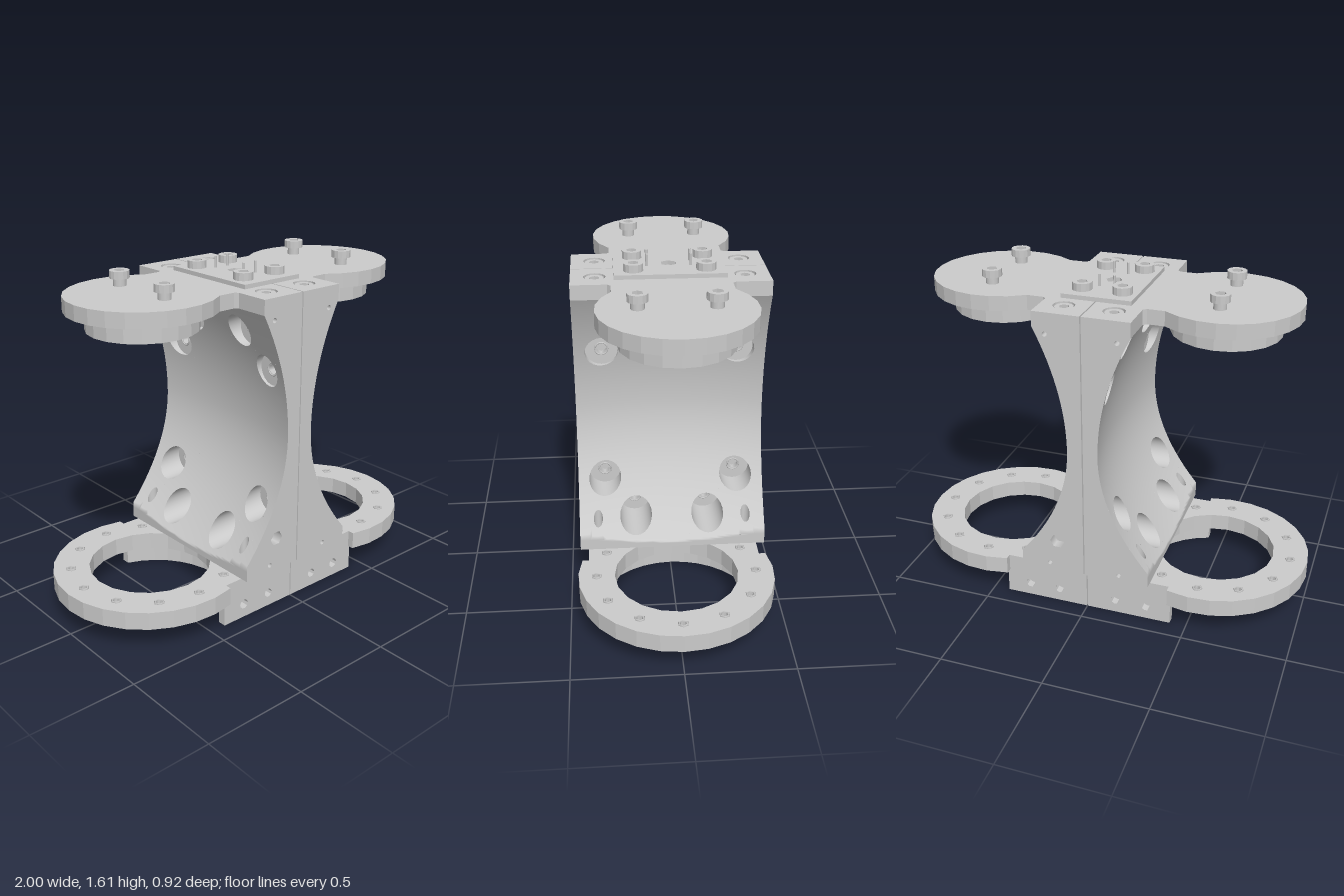
import * as THREE from 'three';
import { mergeGeometries } from 'three/addons/utils/BufferGeometryUtils.js';

const GREY = new THREE.MeshStandardMaterial({ color: 0xcccccc });
const THIN = new THREE.MeshStandardMaterial({ color: 0xcccccc, side: THREE.DoubleSide });
const GAP = 0.003, CX = 0.54, COL_Z = 0.45, Y0 = 0.21, Y1 = 1.46;

function add(parent, name, geo, mat = GREY, x = 0, y = 0, z = 0) {
  const m = new THREE.Mesh(geo, mat);
  m.name = name;
  m.position.set(x, y, z);
  parent.add(m);
  return m;
}

function circle(x, y, r, sides = 16) {
  const pts = [];
  for (let i = 0; i < sides; i++) {
    const a = (i / sides) * Math.PI * 2;
    pts.push(new THREE.Vector2(x + r * Math.cos(a), y + r * Math.sin(a)));
  }
  return new THREE.Path(pts);
}

function shapeOf(points, holes = []) {
  const s = new THREE.Shape(points.map(p => new THREE.Vector2(p[0], p[1])));
  s.holes.push(...holes);
  return s;
}

// Horizontal slab from a plan outline (outlines are symmetric in z)
function slab(shape, y0, y1) {
  const g = new THREE.ExtrudeGeometry(shape, { depth: y1 - y0, bevelEnabled: false });
  return g.rotateX(-Math.PI / 2).translate(0, y0, 0);
}

// Arc points from angle a to b
function arc(cx, r, a, b, n) {
  return Array.from({ length: n + 1 }, (_, i) => {
    const t = a + ((b - a) * i) / n;
    return [cx + r * Math.cos(t), r * Math.sin(t)];
  });
}

// Parametric sheet, fn(u, v) -> [x, y, z]
function sheet(nu, nv, fn) {
  const pos = [], idx = [];
  for (let i = 0; i <= nu; i++) for (let j = 0; j <= nv; j++) pos.push(...fn(i / nu, j / nv));
  for (let i = 0; i < nu; i++) for (let j = 0; j < nv; j++) {
    const a = i * (nv + 1) + j, b = a + nv + 1;
    idx.push(a, b, b + 1, a, b + 1, a + 1);
  }
  const g = new THREE.BufferGeometry();
  g.setAttribute('position', new THREE.Float32BufferAttribute(pos, 3));
  g.setIndex(idx);
  g.computeVertexNormals();
  return g;
}

// Blind hole sunk from a point, opening along +y before rotation
function pocket(parent, name, pos, r, sides, depth, rot = [0, 0, 0]) {
  const g = new THREE.Group();
  g.name = name;
  const turn = Math.PI / 2;
  add(g, 'holeWall', new THREE.CylinderGeometry(r, r, depth, sides, 1, true, turn), THIN, 0, -depth / 2);
  add(g, 'holeFloor', new THREE.CircleGeometry(r, sides).rotateX(-Math.PI / 2), THIN, 0, -depth);
  g.position.set(...pos);
  g.rotation.set(...rot);
  parent.add(g);
}

// Cap screw with a hex socket, base at y
function screw(parent, x, y, z, stem, head, r = 0.046) {
  const g = new THREE.Group();
  g.name = 'capScrew';
  if (stem > 0) add(g, 'stem', new THREE.CylinderGeometry(0.03, 0.03, stem, 12), GREY, 0, stem / 2);
  const ring = shapeOf(circle(0, 0, r, 14).getPoints().map(p => [p.x, p.y]), [circle(0, 0, r * 0.55, 6)]);
  add(g, 'head', slab(ring, stem, stem + head));
  add(g, 'socketFloor', new THREE.CylinderGeometry(r * 0.6, r * 0.6, 0.008, 6), GREY, 0, stem + 0.004);
  g.position.set(x, y, z);
  parent.add(g);
}

// Outer surface of a column half: waisted in y, slightly dished in z
function flank(y, z) {
  const d = y - 0.87;
  const x = 0.073 + (d > 0 ? 0.437 : 0.72) * d * d;
  return Math.min(0.318, x - 0.045 * (1 - (z / COL_Z) ** 2));
}

function skin(nu, nv, zy) {
  const g = sheet(nu, nv, (u, v) => { const [z, y] = zy(u, v); return [flank(y, z), y, z]; });
  const p = g.attributes.position, n = new THREE.Vector3(), e = 1e-3;
  for (let i = 0; i < p.count; i++) {
    const y = p.getY(i), z = p.getZ(i);
    n.set(1, (flank(y - e, z) - flank(y + e, z)) / (2 * e), (flank(y, z - e) - flank(y, z + e)) / (2 * e)).normalize();
    g.attributes.normal.setXYZ(i, n.x, n.y, n.z);
  }
  return g;
}

function buildColumn(half) {
  const H = 0.0825, parts = [], walls = [];
  const rect = (z0, z1, y0, y1, ny) =>
    parts.push(skin(ny, Math.ceil((z1 - z0) / 0.04), (u, v) => [z0 + (z1 - z0) * v, y0 + (y1 - y0) * u]));
  // Patch running from an elliptical hole out to its rectangle
  const holed = (zc, yc, hz, hy, rz, ry) => parts.push(skin(3, 24, (u, v) => {
    const c = Math.cos(v * Math.PI * 2), s = Math.sin(v * Math.PI * 2), m = Math.max(Math.abs(c), Math.abs(s));
    return [zc + s * (rz + (hz / m - rz) * u), yc + c * (ry + (hy / m - ry) * u)];
  }));
  const bolts = [[0.345, 0.175], [0.51, 0.32], [1.155, 0.32], [1.32, 0.175]];
  rect(-COL_Z, COL_Z, Y0, 0.345 - H, 8);
  rect(-COL_Z, COL_Z, 0.51 + H, 1.155 - H, 16);
  rect(-COL_Z, COL_Z, 1.32 + H, Y1, 4);
  bolts.forEach(([y, zb], k) => {
    const spots = [-zb, zb].map(z => ({ z, h: H, rz: 0.078, ry: 0.078, bolt: true }));
    if (k === 0) [-0.36, 0.36].forEach(z => spots.push({ z, h: 0.04, rz: 0.022, ry: 0.034 }));
    spots.sort((a, b) => a.z - b.z);
    let z = -COL_Z;
    for (const s of spots) {
      rect(z, s.z - s.h, y - H, y + H, 6);
      holed(s.z, y, s.h, H, s.rz, s.ry);
      z = s.z + s.h;
      walls.push(sheet(1, 24, (u, v) => {
        const a = v * Math.PI * 2, yy = y + s.ry * Math.cos(a), zz = s.z + s.rz * Math.sin(a), x = flank(yy, zz);
        return s.bolt ? [0.05 + (x - 0.05) * u, yy, zz] : [x, Y0 + (yy - Y0) * u, zz];
      }));
      if (!s.bolt) continue;
      // Recess floor and clamp screw
      const floor = shapeOf(circle(0, 0, 0.078, 24).getPoints().map(p => [p.x, p.y]), [circle(0, 0, 0.026, 6)]);
      add(half, 'recessFloor', new THREE.ShapeGeometry(floor).rotateY(Math.PI / 2), THIN, 0.05, y, s.z);
      pocket(half, 'clampSocket', [0.05, y, s.z], 0.026, 6, 0.035, [0, 0, -Math.PI / 2]);
      add(half, 'screwRim', new THREE.TorusGeometry(0.03, 0.004, 6, 16).rotateY(Math.PI / 2), GREY, 0.05, y, s.z);
    }
    rect(z, COL_Z, y - H, y + H, 6);
  });
  add(half, 'columnFlank', mergeGeometries(parts), THIN);
  add(half, 'recessWalls', mergeGeometries(walls), THIN);

  // End faces with pin holes, plus the hex recess on one end
  for (const s of [-1, 1]) {
    const pts = [[GAP, Y1], [GAP, Y0]];
    for (let i = 0; i <= 32; i++) { const y = Y0 + ((Y1 - Y0) * i) / 32; pts.push([flank(y, COL_Z), y]); }
    const pins = [[0.165, 1.43, 0.012, 10], [0.175, 0.245, 0.012, 10]];
    if (s < 0) pins.push([0.135, 0.375, 0.036, 6]);
    add(half, 'columnEnd', new THREE.ShapeGeometry(shapeOf(pts, pins.map(p => circle(...p)))), THIN, 0, 0, s * COL_Z);
    for (const [x, y, r, n] of pins)
      pocket(half, 'pinHole', [x, y, s * COL_Z], r, n, 0.05, [s * Math.PI / 2, 0, 0]);
    add(half, 'columnFoot', new THREE.PlaneGeometry(0.315, 0.05).rotateX(Math.PI / 2), THIN, 0.16, Y0, s * 0.425);
  }
  add(half, 'splitFace', new THREE.PlaneGeometry(2 * COL_Z, Y1 - Y0).rotateY(-Math.PI / 2), THIN, GAP, (Y0 + Y1) / 2, 0);
}

function buildBase(half) {
  // Ring plate with screw holes
  const a = Math.PI - Math.atan2(0.441, 0.13);
  const holes = [circle(CX, 0, 0.29, 20), circle(0.24, 0.36, 0.022), circle(0.24, -0.36, 0.022)];
  for (let i = -4; i <= 4; i++) {
    const t = (i * Math.PI) / 6, x = CX + 0.375 * Math.cos(t), z = 0.375 * Math.sin(t);
    holes.push(circle(x, z, 0.014, 8));
    add(half, 'ringScrew', new THREE.TorusGeometry(0.02, 0.006, 4, 6).rotateX(Math.PI / 2), GREY, x, Y0, z);
  }
  add(half, 'ringPlate', slab(shapeOf([[GAP, -0.41], [0.41, -0.41],
    ...arc(CX, 0.46, -a, a, 16), [0.41, 0.41], [GAP, 0.41]], holes), 0.125, Y0));

  // Block beneath, scooped around the ring opening
  const b = Math.atan2(0.37, -0.12);
  const core = shapeOf([[GAP, -0.37], ...arc(CX, 0.389, 2 * Math.PI - b, b, 14), [GAP, 0.37]],
    [circle(0.24, 0.345, 0.018), circle(0.24, -0.345, 0.018), circle(0.08, 0.3, 0.018), circle(0.08, -0.3, 0.018)]);
  add(half, 'baseBlock', slab(core, 0, 0.125));
  for (const s of [-1, 1]) {
    const wall = shapeOf([[GAP, 0], [0.42, 0], [0.42, 0.125], [GAP, 0.125]],
      [circle(0.145, 0.068, 0.022, 10), circle(0.3, 0.068, 0.024, 10)]);
    add(half, 'baseWall', new THREE.ExtrudeGeometry(wall, { depth: 0.04, bevelEnabled: false }), GREY, 0, 0, s * 0.39 - 0.02);
    pocket(half, 'scoopHole', [0.227, 0.068, s * 0.31], 0.022, 10, 0.01, [0, 0, -Math.PI / 2]);
  }
}

function buildTop(half) {
  // Head block, neck and round plate in one outline
  const a = Math.PI - Math.atan2(0.27, 0.215);
  add(half, 'topPlate', slab(shapeOf([[GAP, -0.45], [0.225, -0.45], [0.225, -0.285], [0.24, -0.27],
    ...arc(0.535, 0.345, -a, a, 18), [0.24, 0.27], [0.225, 0.285], [0.225, 0.45], [GAP, 0.45]],
    [circle(0.115, 0.34, 0.05), circle(0.115, -0.34, 0.05)]), Y1, 1.53));
  // Hollow collar under the plate
  const collar = shapeOf(arc(0.535, 0.255, 0, Math.PI * 2, 20).slice(0, -1), [circle(0.535, 0, 0.205, 20)]);
  add(half, 'collar', slab(collar, 1.37, Y1));
  for (const s of [-1, 1]) {
    screw(half, 0.535, 1.53, s * 0.165, 0.035, 0.035);
    pocket(half, 'screwWell', [0.115, 1.53, s * 0.34], 0.05, 16, 0.06);
    screw(half, 0.115, 1.47, s * 0.34, 0, 0.055, 0.043);
    screw(half, 0.095, 1.55, s * 0.165, 0, 0.036);
    add(half, 'pin', new THREE.CylinderGeometry(0.006, 0.006, 0.06, 8), GREY, 0.035, 1.575, s * 0.1);
  }
}

export function createModel() {
  const model = new THREE.Group();
  model.name = 'twinRingStand';
  // The two halves are identical, turned half a turn about the vertical
  for (const name of ['leftHalf', 'rightHalf']) {
    const half = new THREE.Group();
    half.name = name;
    buildColumn(half);
    buildBase(half);
    buildTop(half);
    if (name === 'rightHalf') half.rotation.y = Math.PI;
    model.add(half);
  }
  // Joining plate across the split
  const plate = shapeOf([[-0.165, -0.255], [0.165, -0.255], [0.165, 0.255], [-0.165, 0.255]], [circle(0, 0, 0.038, 6)]);
  add(model, 'joiningPlate', slab(plate, 1.53, 1.55));
  return model;
}
